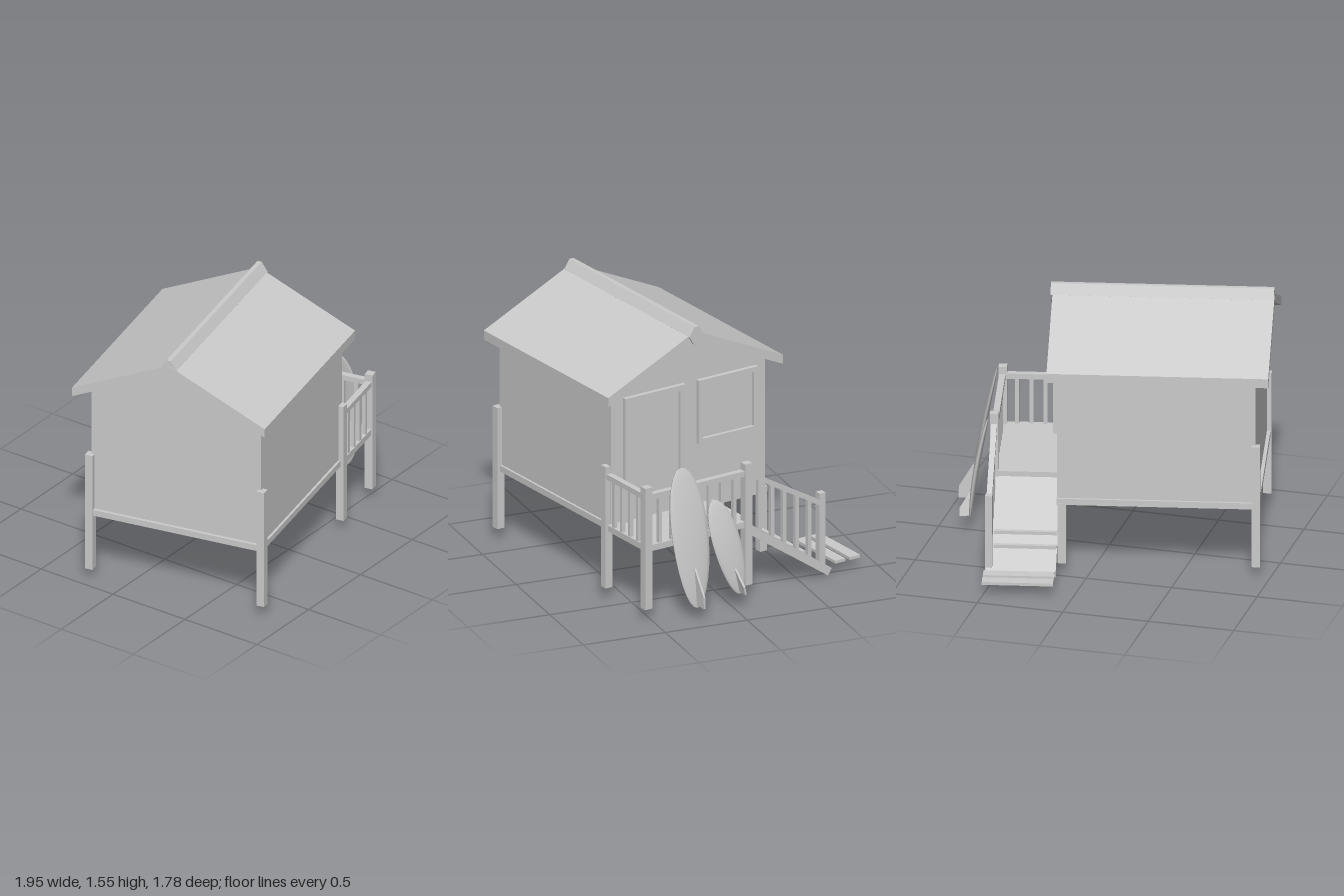
import * as THREE from 'three';

const grey = new THREE.MeshStandardMaterial({ color: 0xcccccc, flatShading: true });
const smooth = new THREE.MeshStandardMaterial({ color: 0xcccccc, side: THREE.DoubleSide });

export function createModel() {
  const root = new THREE.Group();
  root.name = 'stiltCabin';
  root.rotation.y = 0.205; // the whole cabin stands at a slight angle

  const add = (name, geo, mat = grey, parent = root) => {
    const m = new THREE.Mesh(geo, mat);
    m.name = name;
    parent.add(m);
    return m;
  };
  // Box from its min and max on each axis
  const box = (name, x0, x1, y0, y1, z0, z1) => {
    const m = add(name, new THREE.BoxGeometry(x1 - x0, y1 - y0, z1 - z0));
    m.position.set((x0 + x1) / 2, (y0 + y1) / 2, (z0 + z1) / 2);
    return m;
  };
  // Profile in (z, y) extruded along x
  const prism = (name, pts, x0, x1) => {
    const shape = new THREE.Shape(pts.map(p => new THREE.Vector2(...p)));
    const geo = new THREE.ExtrudeGeometry(shape, { depth: x1 - x0, bevelEnabled: false });
    geo.rotateY(-Math.PI / 2).translate(x1, 0, 0);
    return add(name, geo);
  };
  const post = (name, x, z, y0, y1, s = 0.048) =>
    box(name, x - s / 2, x + s / 2, y0, y1, z - s / 2, z + s / 2);

  // Cabin body with gable ends, and its floor
  prism('walls', [[-0.395, 0.45], [0.654, 0.45], [0.654, 1.22], [0.115, 1.47], [-0.395, 1.235]], -0.85, 0.273);
  box('floor', -0.87, 0.275, 0.413, 0.45, -0.41, 0.668);

  // Roof panels and ridge cap
  prism('roof', [[0.71, 1.19], [0.71, 1.245], [0.115, 1.52], [-0.48, 1.245], [-0.48, 1.19], [0.115, 1.465]], -0.927, 0.327);
  prism('ridgeCap', [[0.165, 1.497], [0.128, 1.552], [0.102, 1.552], [0.065, 1.497], [0.09, 1.455], [0.115, 1.435], [0.14, 1.455]], -0.925, 0.338);

  // Door and window on the porch side
  const frame = (name, z0, z1, y0, y1, t, bottom) => {
    box(name + 'Jamb', 0.27, 0.3, y0, y1, z0, z0 + t);
    box(name + 'Jamb', 0.27, 0.3, y0, y1, z1 - t, z1);
    box(name + 'Head', 0.27, 0.3, y1 - t, y1, z0 + t, z1 - t);
    if (bottom) box(name + 'Sill', 0.27, 0.3, y0, y0 + t, z0 + t, z1 - t);
    box(name + 'Panel', 0.27, 0.278, y0, y1 - t, z0 + t, z1 - t);
  };
  frame('door', 0.165, 0.574, 0.45, 1.2, 0.034, false);
  frame('window', -0.33, 0.074, 0.815, 1.2, 0.028, true);

  // Stilts
  post('frontLeftPost', -0.852, 0.66, 0.065, 0.8);
  post('backLeftPost', -0.852, -0.4, 0.065, 0.8);
  post('frontRightPost', 0.243, 0.663, 0.065, 0.8);
  post('backRightPost', 0.244, -0.388, 0.055, 0.42);
  post('porchFrontPost', 0.644, 0.663, 0.065, 0.8);
  post('porchStairPost', 0.65, -0.014, 0.065, 0.8);
  post('stairEndPost', 0.65, -0.518, 0.06, 0.51, 0.04);

  // Porch deck
  box('deck', 0.275, 0.665, 0.413, 0.45, -0.035, 0.678);

  // Porch railings
  box('sideRail', 0.628, 0.664, 0.725, 0.757, -0.01, 0.66);
  box('frontRail', 0.243, 0.644, 0.725, 0.757, 0.645, 0.681);
  for (let i = 1; i <= 7; i++) post('sideBaluster', 0.646, -0.014 + i * 0.0846, 0.45, 0.73, 0.022);
  for (let i = 1; i <= 4; i++) post('frontBaluster', 0.243 + i * 0.08, 0.663, 0.45, 0.73, 0.022);

  // Stair ramp, sloping rail and balusters
  const rampY = z => 0.42 + (z + 0.03) * 0.687;
  const railY = z => 0.72 + (z + 0.014) * 0.58;
  prism('stairRamp', [[-0.02, 0.37], [-0.02, 0.43], [-0.583, 0.04], [-0.557, 0]], 0.27, 0.667);
  const slope = (name, f, z0, z1, t, x0, x1) =>
    prism(name, [[z0, f(z0)], [z1, f(z1)], [z1, f(z1) + t], [z0, f(z0) + t]], x0, x1);
  slope('stairRail', railY, -0.518, -0.014, 0.032, 0.634, 0.666);
  for (let i = 1; i <= 5; i++) {
    const z = -0.014 - i * 0.084;
    post('stairBaluster', 0.65, z, rampY(z) - 0.02, railY(z) + 0.01, 0.024);
  }

  // Stair treads and loose planks at the foot
  for (const z of [-0.417, -0.34]) box('tread', 0.275, 0.63, rampY(z) - 0.02, rampY(z) + 0.012, z - 0.012, z + 0.012);
  for (const z of [-0.735, -0.635]) box('footPlank', 0.272, 0.675, 0.065, 0.082, z - 0.035, z + 0.035);

  // Leaning boards with a fin on the outer face
  const board = (name, len, width, x, y, z, roll, lean, fin) => {
    const g = new THREE.Group();
    g.name = name;
    g.position.set(x, y, z);
    g.rotation.set(roll, 0, lean);
    root.add(g);
    const geo = new THREE.SphereGeometry(1, 14, 14);
    const p = geo.attributes.position;
    for (let i = 0; i < p.count; i++) {
      const t = p.getY(i);
      const fuller = 1 + 0.12 * t; // broader nose, narrower tail
      p.setXYZ(i, p.getX(i) * 0.016 + 0.014 * (1 - t * t), t * len / 2, p.getZ(i) * fuller * width / 2);
    }
    geo.computeVertexNormals();
    add(name + 'Body', geo, smooth, g);
    const b = -len / 2;
    const shape = new THREE.Shape([[0, b + 0.02], [fin, b + 0.005], [fin * 1.15, b + 0.09 * len], [0.015, b + 0.32 * len]]
      .map(q => new THREE.Vector2(...q)));
    const finGeo = new THREE.ExtrudeGeometry(shape, { depth: 0.012, bevelEnabled: false });
    finGeo.translate(0, 0, -0.006);
    add(name + 'Fin', finGeo, grey, g);
  };
  board('largeBoard', 0.82, 0.245, 0.735, 0.47, 0.434, 0.02, 0.175, 0.075);
  board('smallBoard', 0.585, 0.18, 0.75, 0.365, 0.188, 0.215, 0.16, 0.06);

  const model = new THREE.Group();
  model.name = 'cabinModel';
  model.add(root);
  return model;
}
